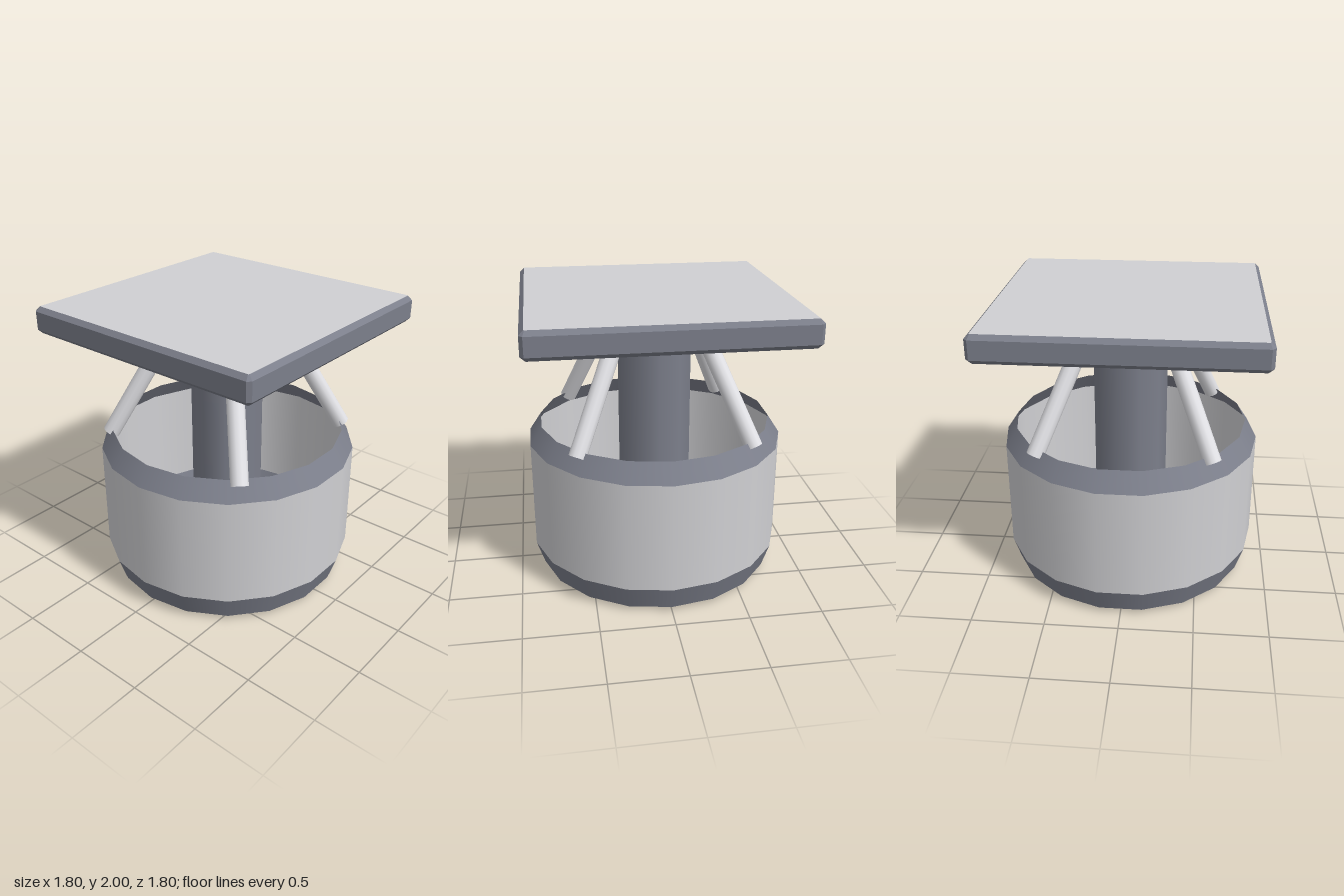
import * as THREE from 'three';

const mat = (name, color, side = THREE.FrontSide) => {
  const m = new THREE.MeshStandardMaterial({ color, side });
  m.name = name;
  return m;
};

export function createModel() {
  const group = new THREE.Group();
  const light = mat('light grey', 0xd0d0d3);
  const lightShell = mat('light grey shell', 0xd0d0d3, THREE.DoubleSide);
  const dark = mat('slate', 0x7c7f8b);
  const darkShell = mat('slate shell', 0x7c7f8b, THREE.DoubleSide);
  const pale = mat('pale metal', 0xe6e6ea);
  const amber = mat('amber', 0xd09048, THREE.DoubleSide);

  const add = (name, geometry, material) => {
    const mesh = new THREE.Mesh(geometry, material);
    mesh.name = name;
    group.add(mesh);
    return mesh;
  };

  // open conical band between two heights
  const band = (name, r0, y0, r1, y1, material, sides = 18) => {
    const g = new THREE.CylinderGeometry(r1, r0, y1 - y0, sides, 1, true);
    add(name, g.translate(0, (y0 + y1) / 2, 0), material);
  };

  // drum shell, open at the top
  band('drumFoot', 0.74, 0, 0.845, 0.03, darkShell);
  band('drumLowerBevel', 0.845, 0.03, 0.9, 0.2, darkShell);
  band('drumWall', 0.9, 0.2, 0.9, 0.97, lightShell);
  band('drumRim', 0.9, 0.97, 0.815, 1.1, darkShell);
  band('intakeRing', 0.74, 0, 0.72, 0.13, amber);

  // slats across the bottom opening
  const slatWidth = 0.19;
  for (let i = -2; i <= 2; i++) {
    const x = i * 0.265;
    const reach = Math.abs(x) + slatWidth / 2;
    const length = 2 * Math.sqrt(0.72 * 0.72 - reach * reach);
    const slat = add('grilleSlat', new THREE.BoxGeometry(slatWidth, 0.03, length), light);
    slat.position.set(x, 0.12, 0);
  }

  // central column with a bevelled top
  band('column', 0.258, 0.13, 0.258, 1.79, darkShell, 10);
  band('columnBevel', 0.258, 1.79, 0.2, 1.82, darkShell, 10);

  // four diagonal struts
  const up = new THREE.Vector3(0, 1, 0);
  for (const sx of [-1, 1]) {
    for (const sz of [-1, 1]) {
      const a = new THREE.Vector3(0.585 * sx, 1.06, 0.585 * sz);
      const b = new THREE.Vector3(0.25 * sx, 1.86, 0.25 * sz);
      const dir = b.clone().sub(a);
      const strut = add('strut', new THREE.CylinderGeometry(0.06, 0.06, dir.length(), 12), pale);
      strut.position.copy(a).add(b).multiplyScalar(0.5);
      strut.quaternion.setFromUnitVectors(up, dir.normalize());
    }
  }

  // bevelled square top plate: light faces, slate edges
  const h = 0.87, c = 0.006;
  const corners = [[h - c, -h], [h, c - h], [h, h - c], [h - c, h],
    [c - h, h], [-h, h - c], [-h, c - h], [c - h, -h]];
  const square = new THREE.Shape(corners.map(([x, y]) => new THREE.Vector2(x, y)));
  const plate = new THREE.ExtrudeGeometry(square, {
    depth: 0.125, bevelEnabled: true, bevelSize: 0.03, bevelThickness: 0.03, bevelSegments: 1,
  });
  plate.rotateX(-Math.PI / 2).translate(0, 1.845, 0);
  add('topPlate', plate, [light, dark]);

  return group;
}
